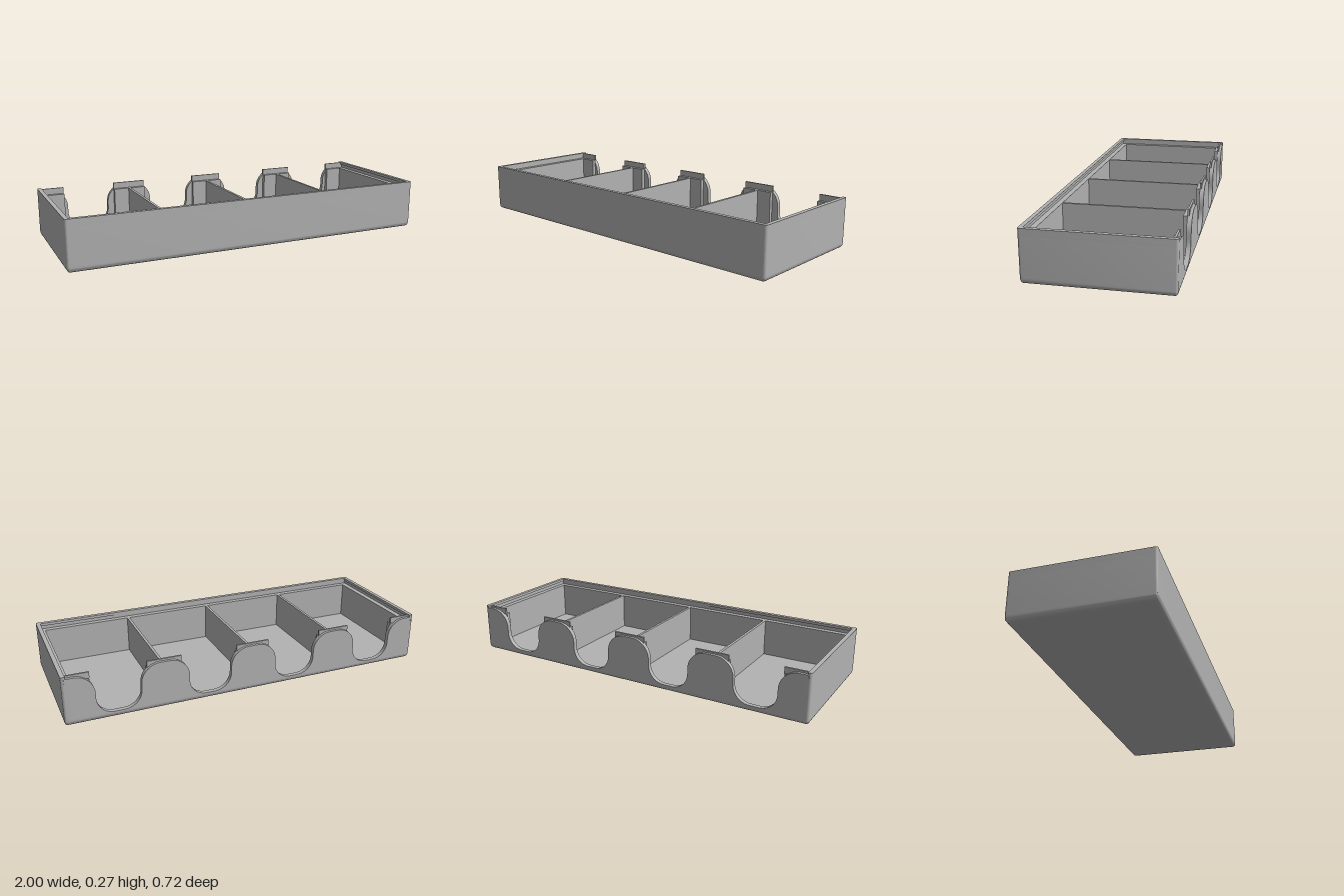
import * as THREE from 'three';
import { toCreasedNormals } from 'three/addons/utils/BufferGeometryUtils.js';

const W = 1, D = 0.36, H = 0.267;      // half width, half depth, height
const FLOOR = 0.03, LEDGE = 0.232, WALL = 0.043, R = 0.013;

export function createModel() {
  const group = new THREE.Group();
  const grey = new THREE.MeshStandardMaterial({ color: 0xb2b2b2 });
  grey.name = 'grey plastic';

  const add = (name, geometry, x = 0, y = 0, z = 0) => {
    const mesh = new THREE.Mesh(geometry, grey);
    mesh.name = name;
    mesh.position.set(x, y, z);
    group.add(mesh);
  };
  // box given by its limits
  const box = (name, x0, x1, y0, y1, z0, z1) =>
    add(name, new THREE.BoxGeometry(x1 - x0, y1 - y0, z1 - z0),
      (x0 + x1) / 2, (y0 + y1) / 2, (z0 + z1) / 2);

  // floor slab with a rounded lower edge, lofted from rounded rectangles
  const loop = (inset) => {
    const r = Math.max(R - inset, 0.002), w = W - inset - r, d = D - inset - r, pts = [];
    [[w, d], [-w, d], [-w, -d], [w, -d]].forEach(([cx, cy], q) => {
      for (let i = 0; i <= 4; i++) {
        const a = (q + i / 4) * Math.PI / 2;
        pts.push([cx + r * Math.cos(a), cy + r * Math.sin(a)]);
      }
    });
    return pts;
  };
  const levels = [];
  const fillet = 0.025;
  for (let i = 0; i <= 6; i++) {
    const a = i / 6 * Math.PI / 2;
    levels.push([fillet * (1 - Math.sin(a)), fillet * (1 - Math.cos(a))]);
  }
  levels.push([0, FLOOR]);
  const pos = [], idx = [], n = 20;
  for (const [inset, y] of levels) for (const [x, v] of loop(inset)) pos.push(x, y, -v);
  for (let l = 0; l < levels.length - 1; l++) {
    for (let i = 0; i < n; i++) {
      const a = l * n + i, b = l * n + (i + 1) % n;
      idx.push(a, b, b + n, a, b + n, a + n);
    }
  }
  const top = (levels.length - 1) * n;
  for (let i = 1; i < n - 1; i++) idx.push(0, i + 1, i, top, top + i, top + i + 1);
  const slab = new THREE.BufferGeometry();
  slab.setAttribute('position', new THREE.Float32BufferAttribute(pos, 3));
  slab.setIndex(idx);
  add('floor', toCreasedNormals(slab, 0.6));

  // front and side walls: a U-shaped plan, open at the back, stacked in three
  // layers so that a lid groove runs under the rim
  const wallLayer = (name, t, y0, y1) => {
    const s = new THREE.Shape();
    s.moveTo(-W + R, D);
    s.quadraticCurveTo(-W, D, -W, D - R);
    s.lineTo(-W, -D + R);
    s.quadraticCurveTo(-W, -D, -W + R, -D);
    s.lineTo(W - R, -D);
    s.quadraticCurveTo(W, -D, W, -D + R);
    s.lineTo(W, D - R);
    s.quadraticCurveTo(W, D, W - R, D);
    s.lineTo(W - t, D);
    s.lineTo(W - t, -D + t);
    s.lineTo(-W + t, -D + t);
    s.lineTo(-W + t, D);
    s.closePath();
    const g = new THREE.ExtrudeGeometry(s, { depth: y1 - y0, bevelEnabled: false, curveSegments: 5 });
    g.rotateX(-Math.PI / 2);
    add(name, toCreasedNormals(g, 0.6), 0, y0, 0);
  };
  wallLayer('outerWalls', WALL, FLOOR, LEDGE);
  wallLayer('lidGroove', 0.014, LEDGE, 0.252);
  wallLayer('rim', 0.022, 0.252, H);

  // back wall with four U-shaped finger notches
  const notches = [0.725, 0.242, -0.242, -0.725];
  const half = 0.115, rt = 0.1, rb = 0.09, yb = 0.034, yt = 0.255, k = 0.45;
  const back = new THREE.Shape();
  back.moveTo(-0.985, 0.026);
  back.lineTo(0.985, 0.026);
  back.lineTo(0.985, yt);
  for (const c of notches) {
    const r = c + half, l = c - half;
    back.lineTo(r + rt, yt);
    back.bezierCurveTo(r + rt * k, yt, r, yt - rt * k, r, yt - rt);
    back.lineTo(r, yb + rb);
    back.bezierCurveTo(r, yb + rb * k, r - rb * k, yb, r - rb, yb);
    back.lineTo(l + rb, yb);
    back.bezierCurveTo(l + rb * k, yb, l, yb + rb * k, l, yb + rb);
    back.lineTo(l, yt - rt);
    back.bezierCurveTo(l, yt - rt * k, l - rt * k, yt, l - rt, yt);
  }
  back.lineTo(-0.985, yt);
  back.closePath();
  const backGeo = new THREE.ExtrudeGeometry(back, { depth: 0.024, bevelEnabled: false, curveSegments: 12 });
  add('notchedBackWall', toCreasedNormals(backGeo, 0.6), 0, 0, -D);

  // square inner posts and thin lid stops behind each back tab
  const post = (x0, x1) => {
    box('backPost', x0, x1, FLOOR, LEDGE, -0.337, -0.315);
    box('lidStop', x0, x1, LEDGE, H - 0.002, -0.345, -0.335);
  };
  post(-0.98, -0.86);
  post(0.86, 0.98);

  // dividers between the four compartments, each ending in a back post
  for (const x of [-0.484, 0, 0.484]) {
    box('divider', x - 0.007, x + 0.007, FLOOR, LEDGE, -0.316, D - WALL);
    post(x - 0.09, x + 0.09);
  }
  return group;
}
